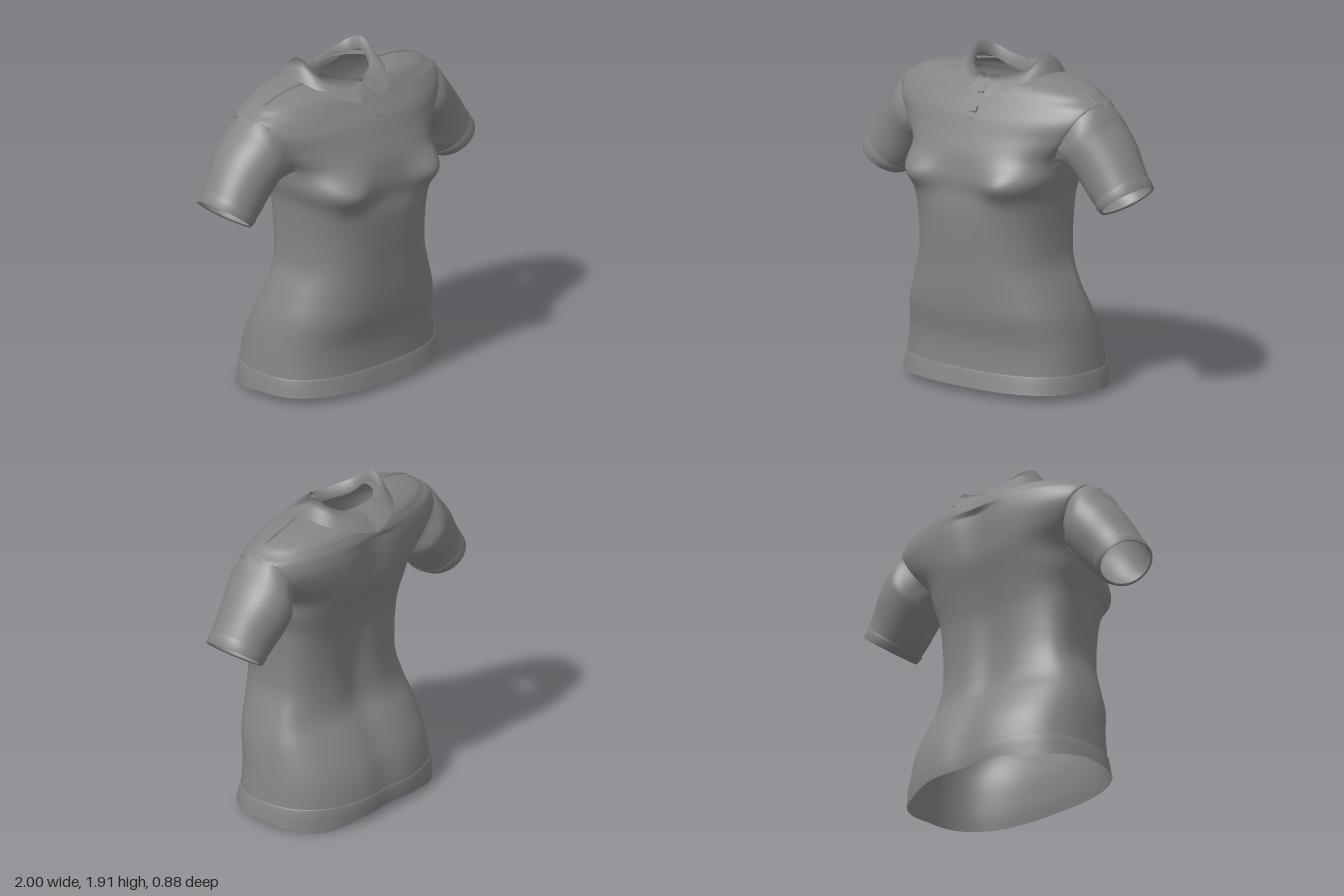
import * as THREE from 'three';

const fabric = new THREE.MeshStandardMaterial({ color: 0x848484, side: THREE.DoubleSide });
fabric.name = 'grey fabric';

const V = (x, y, z) => new THREE.Vector3(x, y, z);
const bell = (d, width) => Math.exp(-((d / width) ** 2));
const spow = (v, e) => Math.sign(v) * Math.abs(v) ** e;

// Catmull-Rom sampling of a table of number rows
function sample(table, t) {
  const i = Math.min(Math.floor(t), table.length - 2), f = t - i;
  const at = (k) => table[Math.max(0, Math.min(table.length - 1, k))];
  return table[0].map((_, c) => {
    const [a, b, d, e] = [at(i - 1)[c], at(i)[c], at(i + 1)[c], at(i + 2)[c]];
    return b + 0.5 * f * (d - a + f * (2 * a - 5 * b + 4 * d - e + f * (3 * (b - d) + e - a)));
  });
}

// Skin a surface over rows of points; skip(a, b, c, d) can leave holes
function loft(name, rows, closed = true, skip = () => false) {
  const n = rows[0].length, pos = [], index = [];
  rows.forEach((r) => r.forEach((p) => pos.push(p.x, p.y, p.z)));
  for (let j = 0; j < rows.length - 1; j++) {
    for (let i = 0; i < (closed ? n : n - 1); i++) {
      const k = (i + 1) % n;
      if (skip(rows[j][i], rows[j][k], rows[j + 1][i], rows[j + 1][k])) continue;
      const a = j * n + i, b = j * n + k;
      index.push(a, a + n, b, b, a + n, b + n);
    }
  }
  const g = new THREE.BufferGeometry();
  g.setAttribute('position', new THREE.Float32BufferAttribute(pos, 3));
  g.setIndex(index);
  g.computeVertexNormals();
  const mesh = new THREE.Mesh(g, fabric);
  mesh.name = name;
  return mesh;
}

// Body sections: height, half width, front z, back z, front and back squareness, front neck drop
const BODY = [
  [0.04, 0.61, 0.37, -0.43, 2.6, 2.5, 0],
  [0.14, 0.597, 0.355, -0.435, 2.6, 2.5, 0],
  [0.30, 0.578, 0.355, -0.40, 2.6, 2.5, 0],
  [0.46, 0.552, 0.385, -0.32, 2.7, 2.4, 0],
  [0.60, 0.507, 0.395, -0.235, 2.7, 2.4, 0],
  [0.75, 0.455, 0.40, -0.21, 2.8, 2.4, 0],
  [0.90, 0.447, 0.408, -0.21, 2.8, 2.4, 0],
  [1.05, 0.452, 0.412, -0.225, 3.0, 2.4, 0],
  [1.15, 0.46, 0.40, -0.25, 3.4, 2.4, 0],
  [1.25, 0.49, 0.40, -0.28, 3.8, 2.4, 0],
  [1.37, 0.52, 0.38, -0.32, 2.8, 2.4, 0],
  [1.48, 0.65, 0.335, -0.335, 2.2, 2.4, 0],
  [1.58, 0.73, 0.29, -0.34, 2.1, 2.4, 0],
  [1.66, 0.715, 0.235, -0.335, 2.1, 2.3, 0],
  [1.70, 0.65, 0.21, -0.325, 2.1, 2.3, 0],
  [1.74, 0.58, 0.18, -0.305, 2.1, 2.3, 0],
  [1.78, 0.42, 0.15, -0.255, 2.1, 2.2, 0.015],
  [1.797, 0.265, 0.13, -0.20, 2, 2, 0.045],
];
const SIDE_Z = -0.02;
const SEGMENTS = 160;
const armPlane = (y) => 0.5 + (y - 1.37) * 0.58;

function bodyRing(t, grow = 0) {
  const [y, w, zf, zb, nf, nb, drop] = sample(BODY, t);
  const ring = [];
  for (let i = 0; i < SEGMENTS; i++) {
    const a = (i / SEGMENTS) * Math.PI * 2, c = Math.cos(a), s = Math.sin(a);
    const front = s > 0, e = 2 / (front ? nf : nb);
    const x = (w + grow) * spow(c, e);
    let z = SIDE_Z + ((front ? zf - SIDE_Z : SIDE_Z - zb) + grow) * spow(s, e);
    if (front) z += 0.07 * Math.sqrt(s) * bell(Math.abs(x) - 0.32, 0.15) * bell(y - 1.225, 0.095);
    else z -= s * 0.035 * bell(x, 0.12) * Math.min(1, 0.5 + y * 0.5) * (y < 1.65 ? 1 : 0.3);
    const p = V(x, y - drop * Math.max(0, s), z);
    // the armholes are flat cuts
    const limit = armPlane(y);
    if (y > 1.36 && y < 1.69 && Math.abs(x) > limit) {
      p.x = Math.sign(x) * limit;
      p.cut = true;
    }
    ring.push(p);
  }
  return ring;
}

// Outline of the left armhole, from the top down the front and up the back
function armholeRing(rows) {
  const front = [], back = [];
  for (const row of rows) {
    const edge = row.filter((p) => p.cut && p.x > 0).sort((p, q) => q.z - p.z);
    if (edge.length < 2) continue;
    front.unshift(edge[0]);
    back.push(edge[edge.length - 1]);
  }
  const top = front[0].clone().lerp(back[back.length - 1], 0.5);
  const outline = new THREE.CatmullRomCurve3([top, ...front, ...back], true, 'centripetal');
  return outline.getSpacedPoints(40).slice(0, 40);
}

// Sleeve sections: upper x, y; lower x, y; front z, back z
const SLEEVE = [
  [0.665, 1.685, 0.495, 1.365, 0.18, -0.25],
  [0.735, 1.615, 0.535, 1.315, 0.175, -0.26],
  [0.84, 1.495, 0.605, 1.225, 0.15, -0.25],
  [0.92, 1.375, 0.68, 1.135, 0.138, -0.22],
  [0.985, 1.265, 0.75, 1.085, 0.135, -0.205],
];
const CUFF = [
  [0.955, 1.315, 0.715, 1.105, 0.135, -0.21],
  [0.97, 1.3, 0.722, 1.092, 0.141, -0.214],
  [0.998, 1.255, 0.76, 1.072, 0.14, -0.212],
  [0.985, 1.25, 0.765, 1.085, 0.13, -0.2],
];
function sleeveRing([ux, uy, lx, ly, zf, zb]) {
  return Array.from({ length: 40 }, (_, i) => {
    const a = (i / 40) * Math.PI * 2, k = 0.5 + 0.5 * Math.cos(a);
    return V(lx + (ux - lx) * k, ly + (uy - ly) * k,
      (zf + zb) / 2 + ((zf - zb) / 2) * spow(Math.sin(a), 0.9));
  });
}
const toSide = (rows, side) => rows.map((r) => r.map((p) => V(p.x * side, p.y, p.z)));

// Collar edges from the front opening round to the centre back
const COLLAR_TOP = [[0.01, 1.785, 0.14], [0.1, 1.795, 0.11], [0.2, 1.825, 0.03], [0.24, 1.91, -0.07],
  [0.22, 1.875, -0.17], [0.13, 1.83, -0.205], [0, 1.81, -0.2]];
const COLLAR_EDGE = [[0.03, 1.735, 0.2], [0.09, 1.69, 0.245], [0.23, 1.745, 0.155], [0.295, 1.798, -0.03],
  [0.28, 1.782, -0.195], [0.16, 1.738, -0.312], [0, 1.69, -0.345]];

function collarRows() {
  const rows = [[], [], [], []];
  for (let i = 0; i <= 30; i++) {
    const t = i / 5;
    const [x, y, z] = sample(COLLAR_TOP, t), [ex, ey, ez] = sample(COLLAR_EDGE, t);
    rows[0].push(V(x, y - 0.08, z));
    rows[1].push(V(x, y, z));
    rows[2].push(V((x + ex) / 2, (y + ey) / 2 + 0.012, (z + ez) / 2));
    rows[3].push(V(ex, ey, ez));
  }
  return rows;
}

export function createModel() {
  const shirt = new THREE.Group();
  shirt.name = 'shirt';

  // body, open at the hem, neck and armholes
  const rows = [];
  const steps = (BODY.length - 1) * 5;
  for (let j = 0; j <= steps; j++) rows.push(bodyRing(j / 5));
  shirt.add(loft('body', rows, true, (...q) => q.every((p) => p.cut)));

  // hem band, dipping at both sides of the back
  const hem = [bodyRing(1, 0), bodyRing(0.95, 0.006), bodyRing(0.5, 0.008), bodyRing(0, 0.01)];
  hem[3].forEach((p) => {
    if (p.z < 0) p.y -= 0.04 * bell(Math.abs(p.x) - 0.46, 0.16) * Math.min(1, -p.z / 0.15);
  });
  shirt.add(loft('hemBand', hem));

  // sleeve easing from the armhole outline into round sections
  const armhole = armholeRing(rows);
  const sleeve = [];
  for (let j = 0; j <= 24; j++) {
    const ring = sleeveRing(sample(SLEEVE, j / 6));
    const ease = Math.max(0, 1 - j / 8);
    sleeve.push(ring.map((p, i) => p.lerp(armhole[i].clone().add(V(j * 0.012, -j * 0.008, 0)), ease)));
  }

  for (const side of [1, -1]) {
    const word = side > 0 ? 'left' : 'right';
    shirt.add(loft(word + 'Sleeve', toSide(sleeve, side)));
    shirt.add(loft(word + 'Cuff', toSide(CUFF.map(sleeveRing), side)));
    shirt.add(loft(word + 'Collar', toSide(collarRows(), side), false));

    // raised seam along the shoulder
    const path = new THREE.CatmullRomCurve3([V(side * 0.28, 1.792, -0.01), V(side * 0.42, 1.778, -0.02),
      V(side * 0.58, 1.738, -0.02), V(side * 0.66, 1.69, -0.015)]);
    const seam = new THREE.Mesh(new THREE.TubeGeometry(path, 16, 0.009, 6), fabric);
    seam.name = word + 'ShoulderSeam';
    shirt.add(seam);
  }

  // placket strip and its buttons down the chest
  const placket = [[1.77, 0.16], [1.74, 0.188], [1.67, 0.238], [1.58, 0.298], [1.555, 0.306]];
  shirt.add(loft('placket', placket.map(([y, z]) => [V(-0.005, y, z), V(0.045, y, z)]), false));
  for (const [y, z] of [[1.715, 0.212], [1.615, 0.28]]) {
    const button = new THREE.Mesh(new THREE.BoxGeometry(0.042, 0.016, 0.036), fabric);
    button.name = 'button';
    button.position.set(0.022, y, z);
    button.rotation.x = 0.95;
    shirt.add(button);
  }
  return shirt;
}
